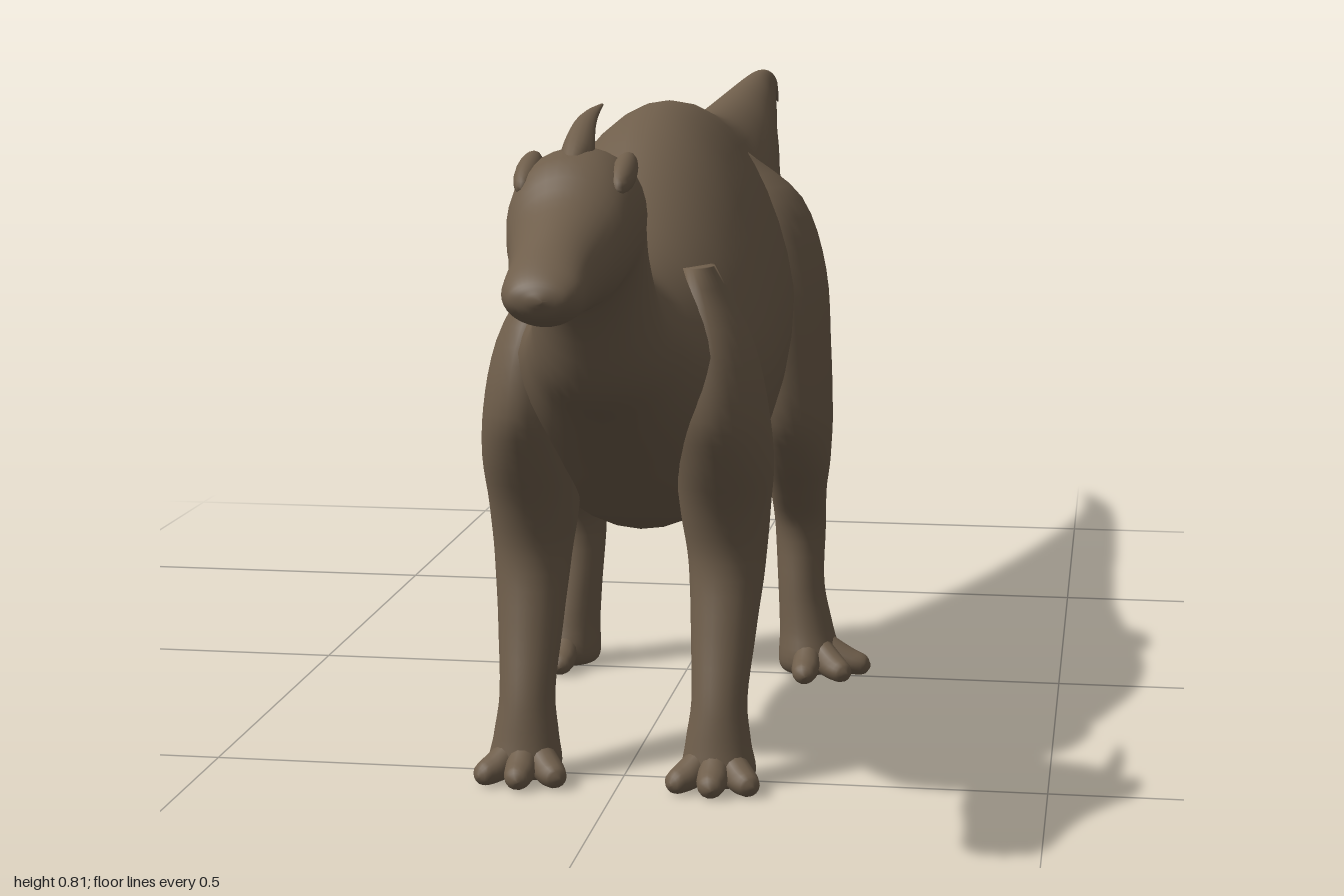
import * as THREE from 'three';

const hide = new THREE.MeshStandardMaterial({ color: 0x6f5e4b });
hide.name = 'brown hide';

// Smooth closed loft. Row: [zA, yA, zB, yB, halfWidth, narrowing towards A, centreX]
// A is the upper (or front) outline point, B the lower (or rear) one.
function loft(rows, side = 1, steps = 4, n = 28) {
  const curve = (f) => new THREE.CatmullRomCurve3(rows.map(f), false, 'centripetal');
  const upper = curve((r) => new THREE.Vector3(side * (r[6] || 0), r[1], r[0]));
  const lower = curve((r) => new THREE.Vector3(side * (r[6] || 0), r[3], r[2]));
  const width = new THREE.CatmullRomCurve3(
    rows.map((r) => new THREE.Vector3(r[4], r[5], 0)), false, 'catmullrom', 0.4);
  const rings = (rows.length - 1) * steps;
  const pos = [], idx = [];
  for (let i = 0; i <= rings; i++) {
    const t = i / rings;
    const a = upper.getPoint(t), b = lower.getPoint(t), w = width.getPoint(t);
    const mid = a.clone().add(b).multiplyScalar(0.5);
    const half = a.clone().sub(b).multiplyScalar(0.5);
    for (let j = 0; j < n; j++) {
      const ang = (j / n) * Math.PI * 2, s = Math.sin(ang);
      const x = Math.max(w.x, 0.0005) * Math.cos(ang) * (1 - w.y * Math.max(0, s));
      pos.push(mid.x + x, mid.y + half.y * s, mid.z + half.z * s);
    }
    if (i === rings) continue;
    for (let j = 0; j < n; j++) {
      const p = i * n + j, q = i * n + (j + 1) % n;
      idx.push(p, q, p + n, q, q + n, p + n);
    }
  }
  // End caps
  for (const ring of [0, rings]) {
    for (let j = 1; j < n - 1; j++) {
      const p = ring * n;
      if (ring) idx.push(p, p + j, p + j + 1);
      else idx.push(p, p + j + 1, p + j);
    }
  }
  const g = new THREE.BufferGeometry();
  g.setAttribute('position', new THREE.Float32BufferAttribute(pos, 3));
  g.setIndex(idx);
  g.computeVertexNormals();
  return g;
}

function part(name, geometry) {
  const m = new THREE.Mesh(geometry, hide);
  m.name = name;
  return m;
}

// Tail tip to shoulders
const trunk = [
  [-1, 0.708, -1, 0.704, 0.002, 0],
  [-0.95, 0.735, -0.95, 0.714, 0.007, 0],
  [-0.88, 0.758, -0.88, 0.718, 0.014, 0],
  [-0.78, 0.768, -0.78, 0.705, 0.024, 0.1],
  [-0.6, 0.757, -0.6, 0.655, 0.047, 0.1],
  [-0.4, 0.743, -0.4, 0.575, 0.075, 0.15],
  [-0.22, 0.738, -0.24, 0.48, 0.1, 0.2],
  [-0.08, 0.752, -0.12, 0.385, 0.12, 0.2],
  [0.02, 0.766, -0.04, 0.335, 0.137, 0.2],
  [0.1, 0.775, 0.1, 0.312, 0.153, 0.2],
  [0.2, 0.78, 0.2, 0.28, 0.165, 0.2],
  [0.3, 0.765, 0.3, 0.268, 0.168, 0.2],
  [0.4, 0.712, 0.4, 0.28, 0.162, 0.2],
  [0.48, 0.66, 0.48, 0.33, 0.145, 0.2],
];
// Neck, skull and muzzle
const neckAndHead = [
  [0.54, 0.632, 0.55, 0.385, 0.118, 0.2],
  [0.58, 0.627, 0.63, 0.445, 0.092, 0.2],
  [0.62, 0.645, 0.7, 0.49, 0.074, 0.2],
  [0.655, 0.69, 0.745, 0.57, 0.065, 0.1],
  [0.69, 0.735, 0.77, 0.6, 0.066, 0],
  [0.735, 0.765, 0.79, 0.607, 0.071, -0.1],
  [0.81, 0.762, 0.83, 0.6, 0.068, -0.1],
  [0.86, 0.722, 0.88, 0.602, 0.055, 0],
  [0.92, 0.692, 0.93, 0.601, 0.045, 0],
  [0.97, 0.668, 0.97, 0.605, 0.042, 0],
  [0.992, 0.652, 0.992, 0.616, 0.03, 0],
  [1, 0.638, 1, 0.63, 0.006, 0],
];
const hindLeg = [
  [0.06, 0.71, -0.01, 0.71, 0.015, 0, 0.06],
  [0.1, 0.645, -0.05, 0.645, 0.05, 0, 0.105],
  [0.12, 0.55, -0.075, 0.55, 0.06, 0, 0.127],
  [0.127, 0.45, -0.07, 0.44, 0.06, 0, 0.135],
  [0.122, 0.36, -0.06, 0.36, 0.053, 0, 0.145],
  [0.088, 0.305, -0.046, 0.3, 0.045, 0, 0.15],
  [0.04, 0.25, -0.055, 0.25, 0.037, 0, 0.15],
  [0.005, 0.2, -0.072, 0.2, 0.034, 0, 0.15],
  [0.01, 0.12, -0.065, 0.12, 0.031, 0, 0.152],
  [0.02, 0.06, -0.066, 0.06, 0.036, 0, 0.16],
  [0.03, 0.02, -0.072, 0.02, 0.042, 0, 0.165],
  [0.02, 0.004, -0.065, 0.004, 0.036, 0, 0.165],
  [-0.015, 0.004, -0.03, 0.004, 0.005, 0, 0.165],
];
const frontLeg = [
  [0.52, 0.61, 0.44, 0.61, 0.02, 0, 0.085],
  [0.56, 0.52, 0.41, 0.52, 0.046, 0, 0.105],
  [0.57, 0.44, 0.39, 0.44, 0.056, 0, 0.112],
  [0.55, 0.385, 0.385, 0.37, 0.058, 0, 0.115],
  [0.517, 0.32, 0.395, 0.31, 0.053, 0, 0.115],
  [0.502, 0.26, 0.41, 0.25, 0.046, 0, 0.117],
  [0.517, 0.18, 0.44, 0.18, 0.039, 0, 0.116],
  [0.54, 0.1, 0.475, 0.1, 0.033, 0, 0.115],
  [0.55, 0.05, 0.482, 0.05, 0.039, 0, 0.115],
  [0.555, 0.02, 0.48, 0.02, 0.044, 0, 0.116],
  [0.55, 0.004, 0.485, 0.004, 0.036, 0, 0.116],
  [0.52, 0.004, 0.51, 0.004, 0.005, 0, 0.116],
];
// One toe pointing along +z
const toe = [
  [0, 0.075, 0, 0.006, 0.014, 0],
  [0.03, 0.052, 0.03, 0.003, 0.018, 0],
  [0.06, 0.034, 0.06, 0, 0.018, 0],
  [0.077, 0.026, 0.077, 0.002, 0.013, 0],
  [0.083, 0.016, 0.083, 0.01, 0.003, 0],
];
// Thin crest sweeping back from the crown
const crest = [
  [0.63, 0.806, 0.63, 0.803, 0.002, 0],
  [0.69, 0.804, 0.69, 0.794, 0.008, 0],
  [0.74, 0.797, 0.74, 0.776, 0.013, 0],
  [0.785, 0.778, 0.765, 0.742, 0.018, 0],
  [0.815, 0.757, 0.785, 0.72, 0.014, 0],
];

export function createModel() {
  const model = new THREE.Group();
  model.name = 'crestedDinosaur';
  model.add(part('body', loft([...trunk, ...neckAndHead], 1, 4, 36)));
  model.add(part('crest', loft(crest, 1, 4, 16)));

  for (const side of [1, -1]) {
    const label = side > 0 ? 'left' : 'right';
    const limbs = [
      ['HindLeg', hindLeg, 0.165, -0.018, [0, 42, 84]],
      ['FrontLeg', frontLeg, 0.114, 0.505, [-36, 0, 36]],
    ];
    for (const [name, rows, x, z, angles] of limbs) {
      const limb = new THREE.Group();
      limb.name = label + name;
      limb.add(part('leg', loft(rows, side)));
      angles.forEach((deg, i) => {
        const t = part('toe' + (i + 1), loft(toe, 1, 3, 14));
        t.position.set(side * x, 0, z);
        t.rotation.y = side * THREE.MathUtils.degToRad(deg);
        limb.add(t);
      });
      model.add(limb);
    }
    // Bony ridge above each eye
    const brow = part(label + 'Brow', new THREE.SphereGeometry(1, 16, 12));
    brow.scale.set(0.014, 0.016, 0.045);
    brow.position.set(side * 0.051, 0.742, 0.785);
    brow.rotation.x = 0.35;
    model.add(brow);
  }
  return model;
}
